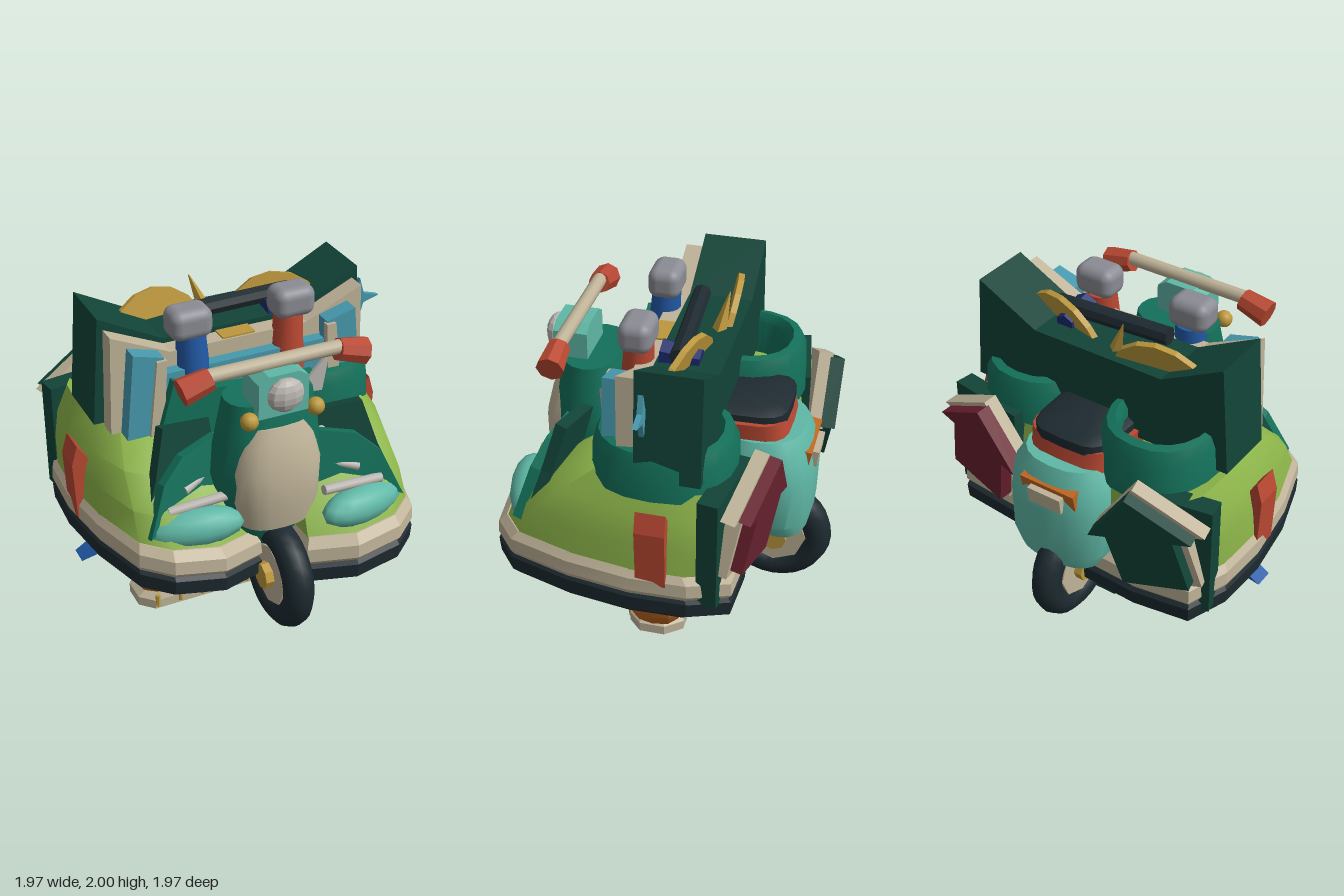
import * as THREE from 'three';
import { toCreasedNormals } from 'three/addons/utils/BufferGeometryUtils.js';
import { RoundedBoxGeometry } from 'three/addons/geometries/RoundedBoxGeometry.js';

const C = { dark: 0x1d2a30, tan: 0xc0b499, green: 0x13705a, deep: 0x124438, lime: 0x8db54a, teal: 0x5fb8a6,
  blue: 0x4799ae, red: 0xb94832, gold: 0xbd983c, orange: 0xbd6722, crimson: 0x6b2230, grey: 0x8b8c94,
  white: 0xbab5b0, navy: 0x1d2a6e, cobalt: 0x2159a5 };

export function createModel() {
  const root = new THREE.Group();
  const add = (name, geo, color, pos = [0, 0, 0], rot = [0, 0, 0], flat = true) => {
    const m = new THREE.Mesh(geo, new THREE.MeshStandardMaterial({ color: C[color], flatShading: flat, side: THREE.DoubleSide }));
    m.name = name;
    m.position.set(...pos);
    m.rotation.set(...rot);
    root.add(m);
    return m;
  };
  const box = (w, h, d) => new THREE.BoxGeometry(w, h, d);
  const slab = (pts, depth) => new THREE.ExtrudeGeometry(new THREE.Shape(pts.map(p => new THREE.Vector2(...p))),
    { depth, bevelEnabled: false }).translate(0, 0, -depth / 2);
  // rod between two points
  const rod = (name, a, b, r0, r1, color, n = 10) => {
    const p = new THREE.Vector3(...a), q = new THREE.Vector3(...b), d = q.clone().sub(p);
    const m = add(name, new THREE.CylinderGeometry(r1, r0, d.length(), n), color, p.clone().add(q).multiplyScalar(0.5).toArray(), [0, 0, 0], n < 9);
    m.quaternion.setFromUnitVectors(new THREE.Vector3(0, 1, 0), d.normalize());
  };
  // horizontal rounded ring: height, half width, centre z, half depth, centre x; e is squareness
  const ring = ([y, hx, zc, hz, xc = 0], e = 1, n = 20) => Array.from({ length: n }, (_, i) => {
    const a = (i / n) * Math.PI * 2, f = t => Math.sign(t) * Math.abs(t) ** e;
    return [xc + hx * f(Math.cos(a)), y, zc + hz * f(Math.sin(a))];
  });
  // skin over stacked rings, with optional end caps
  const loft = (rings, caps = true, crease = 0.6) => {
    const n = rings[0].length, pos = rings.flat(), idx = [];
    for (let i = 0; i < rings.length - 1; i++) for (let j = 0; j < n; j++) {
      const a = i * n + j, b = i * n + (j + 1) % n;
      idx.push(a, a + n, b, b, a + n, b + n);
    }
    if (caps) [0, rings.length - 1].forEach((r, k) => {
      const c = pos.length;
      pos.push([0, 1, 2].map(q => rings[r].reduce((s, p) => s + p[q], 0) / n));
      for (let j = 0; j < n; j++) {
        const a = r * n + j, b = r * n + (j + 1) % n;
        if (k) idx.push(c, b, a); else idx.push(c, a, b);
      }
    });
    const g = new THREE.BufferGeometry();
    g.setAttribute('position', new THREE.Float32BufferAttribute(pos.flat(), 3));
    g.setIndex(idx);
    return toCreasedNormals(g, crease);
  };
  const stack = (name, rows, color, e = 1, caps = true) =>
    add(name, loft(rows.map(r => ring(r, e)), caps), color, [0, 0, 0], [0, 0, 0], false);

  // side pods; the right one sits further back and tilts more
  const foot = [[0.1, -0.5], [0.5, -0.56], [0.86, -0.55], [0.96, -0.32], [0.98, 0], [0.93, 0.38], [0.82, 0.74], [0.66, 0.87], [0.37, 0.91], [0.1, 0.8]];
  for (const s of [1, -1]) {
    const dz = s > 0 ? 0 : -0.19, side = s > 0 ? 'left' : 'right', tilt = s > 0 ? 0.08 : 0.13, lift = s > 0 ? -0.025 : 0;
    const podRing = ([y, sx, sz = sx, oz = 0, ox = 0]) => {
      const r = foot.map(([x, z]) => {
        const px = 0.535 + ox + (x - 0.535) * sx, pz = 0.18 + oz + (z - 0.18) * sz + dz;
        return [s * px, y + lift + tilt * (px - 0.5) + 0.025 * pz, pz];
      });
      return s > 0 ? r : r.reverse();
    };
    const pod = (name, rows, color, crease = 0.3) =>
      add(side + name, loft(rows.map(podRing), true, crease), color, [0, 0, 0], [0, 0, 0], false);
    pod('Skirt', [[0.47, 0.94], [0.5, 1], [0.59, 1.01], [0.62, 0.97]], 'dark');
    pod('Bumper', [[0.61, 0.98], [0.64, 1.01], [0.72, 1], [0.77, 0.93]], 'tan');
    pod('PodBody', [[0.74, 0.94], [0.93, 0.91, 0.89, -0.07], [1.1, 0.85, 0.74, -0.15], [1.26, 0.72, 0.57, -0.25, -0.02]], 'lime', 0.8);
    // open cockpit collar
    const [cx, cz, h] = s > 0 ? [0.52, -0.1, 0] : [-0.44, -0.3, 0.06];
    stack(side + 'CockpitRim', [[1.2, 0.355, cz, 0.41, cx], [1.4 + h, 0.34, cz, 0.4, cx], [1.47 + h, 0.31, cz, 0.37, cx],
      [1.48 + h, 0.27, cz, 0.32, cx], [1.43 + h, 0.24, cz, 0.29, cx], [1.22, 0.24, cz, 0.29, cx]], 'green', 0.85, false);
    // pod nose light, trim bars and fins
    const nose = new THREE.SphereGeometry(1, 14, 8).scale(0.29, 0.115, 0.12);
    add(side + 'NoseLight', nose, 'teal', [s * 0.48, 0.86, 0.73 + dz], [0, s * 0.25, s * -0.06], false);
    rod(side + 'TrimBar', [s * 0.24, 1.0, 0.71 + dz], [s * 0.62, 0.97, 0.69 + dz], 0.03, 0.03, 'white');
    rod(side + 'UpperTrimBar', [s * 0.34, 1.09, 0.58 + dz], [s * 0.5, 1.05, 0.64 + dz], 0.022, 0.028, 'white');
    rod(side + 'RearTrimBar', [s * 0.2, 1.24, 0.27], [s * 0.6, 1.2, 0.27], 0.025, 0.025, 'white');
    // fins lean back at the top and sweep forward at the outside
    const fin = (name, pts, depth, z, color) => add(side + name, slab(pts.map(([x, y]) => [s * (x - 0.5), y - 1.1]), depth),
      color, [s * 0.5, 1.1, z], [-0.2, s * -0.22, 0]);
    fin('FrontFin', [[0.24, 0.98], [0.26, 1.31], [0.5, 1.25], [0.64, 1.12], [0.76, 0.83], [0.5, 0.97]], 0.06, 0.61 + dz, 'green');
    fin('BackFin', [[0.24, 1.05], [0.27, 1.38], [0.58, 1.4], [0.66, 1.12], [0.74, 0.92]], 0.07, 0.53 + dz, 'deep');
    // side lamp
    add(side + 'SideLamp', slab([[0.84, 0.72], [0.97, 0.7], [0.985, 1.06], [0.95, 1.18], [0.84, 1.02]].map(([x, y]) => [s * x, y]), 0.17),
      'red', [0, 0, -0.12]);
    // rear arrow sign on its backing plate
    const arrow = k => slab([[0, 0.36], [0.34, 0.05], [0.22, 0.05], [0.22, -0.33], [-0.22, -0.33], [-0.22, 0.05], [-0.34, 0.05]]
      .map(([x, y]) => [x * k, y * k]), 0.085);
    const z = s > 0 ? -0.58 : -0.75, turn = [-0.13, s * -0.18, s * 0.22];
    add(side + 'ArrowBorder', arrow(1), 'tan', [s * 0.63, 1.06, z], turn);
    add(side + 'Arrow', arrow(0.92), s > 0 ? 'crimson' : 'deep', [s * 0.62, 1.06, z - 0.075], turn);
    add(side + 'BackPlate', box(0.5, 0.7, 0.12), 'deep', [s * 0.685, 0.93, s > 0 ? -0.465 : -0.64], [0, s * -0.16, 0]);
    // bottles, gold discs
    add(side + 'BottleCap', new RoundedBoxGeometry(0.25, 0.18, 0.19, 4, 0.06), 'grey', [s * 0.315, 1.91, 0.11], [0, 0, 0], false);
    rod(side + 'Bottle', [s * 0.29, 1.5, 0.13], [s * 0.3, 1.83, 0.11], 0.1, 0.085, s > 0 ? 'red' : 'cobalt', 14);
    add(side + 'GoldDisc', new THREE.CylinderGeometry(0.31, 0.31, 0.035, 16), 'gold',
      [s * 0.35, 1.63, s > 0 ? -0.14 : -0.24], [Math.PI / 2 - 0.25, 0, s > 0 ? 0.25 : -0.12]);
    // upright strips either side of the box front
    add(side + 'BlueStrip', slab([[0.53, 1.3], [0.73, 1.3], [0.68, 1.82], [0.5, 1.77]].map(([x, y]) => [s * x, y]), 0.1), 'blue', [0, 0, 0.16]);
    add(side + 'TanStrip', slab([[0.52, 1.3], [0.6, 1.3], [0.55, 1.76], [0.49, 1.76]].map(([x, y]) => [s * x, y]), 0.04), 'tan', [0, 0, 0.21]);
    // handlebar grip and turn signal
    rod(side + 'Grip', [s * 0.38, 1.785, 0.545], [s * 0.55, 1.74, 0.545], 0.065, 0.08, 'red', 8);
    add(side + 'Signal', new THREE.SphereGeometry(0.052, 10, 8), 'gold', [s * 0.2, 1.53, 0.65], [0, 0, 0], false);
  }
  add('joint', new THREE.SphereGeometry(0.035, 10, 8), 'white', [0.33, 1.25, 0.48], [0, 0, 0], false);

  // high-cornered back box with layered front frame
  const wings = (top, out, low, base, mid) => [[-low, base], [low, base], [out, top], [0.42, mid], [-0.42, mid], [-out, top]];
  add('backBox', slab(wings(1.97, 0.8, 0.85, 1.32, 1.77), 0.37), 'deep', [0, 0, -0.185]);
  add('tanFrame', slab(wings(1.9, 0.77, 0.79, 1.3, 1.74), 0.11), 'tan', [0, 0, 0.055]);
  add('bluePanel', slab([[-0.5, 1.3], [0.5, 1.3], [0.5, 1.65], [-0.5, 1.65]], 0.08), 'blue', [0, 0, 0.14]);
  add('lowerPanel', slab([[-0.58, 1.25], [0.55, 1.25], [0.4, 1.5], [-0.27, 1.55], [-0.47, 1.64]], 0.06), 'green', [0, 0, 0.24]);
  add('centreClasp', box(0.2, 0.12, 0.1), 'gold', [0, 1.69, 0.05]);
  rod('topBar', [-0.3, 1.85, -0.1], [0.42, 1.84, -0.14], 0.052, 0.052, 'dark', 8);
  rod('goldSpike', [-0.04, 1.72, -0.25], [-0.13, 1.97, -0.3], 0.05, 0.004, 'gold', 4);
  rod('navyPeg', [0.31, 1.8, -0.02], [0.31, 1.78, -0.24], 0.08, 0.06, 'navy', 6);
  add('greyFlap', slab([[0.27, 1.4], [0.48, 1.62], [0.44, 1.38]], 0.02), 'white', [0, 0, 0.28]);

  // four-point star
  const star = Array.from({ length: 8 }, (_, i) => {
    const r = i % 2 ? 0.042 : 0.13, a = (i * Math.PI) / 4;
    return [r * Math.cos(a), r * Math.sin(a)];
  });
  add('star', slab(star, 0.03), 'blue', [0.85, 1.73, -0.05]);

  // wheels
  for (const [name, z] of [['frontWheel', 0.65], ['rearWheel', -0.65]]) {
    add(name + 'Tyre', new THREE.TorusGeometry(0.245, 0.09, 10, 28), 'dark', [0, 0.47, z], [0, Math.PI / 2, 0], false);
    add(name + 'Disc', new THREE.CylinderGeometry(0.19, 0.19, 0.14, 8), 'tan', [0, 0.47, z], [0, 0, Math.PI / 2]);
    add(name + 'Hub', new THREE.CylinderGeometry(0.08, 0.08, 0.24, 8), 'gold', [0, 0.47, z], [0, 0, Math.PI / 2]);
  }

  // scooter front
  stack('legShield', [[0.62, 0.18, 0.42, 0.14], [0.8, 0.26, 0.42, 0.24], [1.1, 0.33, 0.44, 0.25], [1.4, 0.29, 0.46, 0.2], [1.58, 0.26, 0.46, 0.16]], 'green', 0.85);
  stack('shieldPanel', [[0.82, 0.22, 0.55, 0.16], [0.98, 0.26, 0.55, 0.19], [1.18, 0.27, 0.54, 0.2], [1.35, 0.23, 0.53, 0.17], [1.45, 0.19, 0.53, 0.13]], 'tan', 0.8);
  add('headUnit', slab([[-0.15, 1.53], [0.15, 1.53], [0.15, 1.74], [0.09, 1.78], [-0.09, 1.78], [-0.15, 1.74]], 0.2), 'teal', [0, 0, 0.56]);
  add('headlight', new THREE.SphereGeometry(0.11, 10, 8).scale(1, 0.9, 0.55), 'white', [0, 1.665, 0.68]);
  rod('handlebar', [-0.4, 1.8, 0.545], [0.4, 1.8, 0.545], 0.042, 0.042, 'tan');

  // scooter rear
  stack('rearCowl', [[0.62, 0.26, -0.7, 0.15, 0.02], [0.72, 0.32, -0.67, 0.2, 0.02], [1.0, 0.34, -0.61, 0.27, 0.02],
    [1.16, 0.33, -0.58, 0.27, 0.02], [1.27, 0.27, -0.54, 0.26, 0.02]], 'teal', 0.8);
  stack('seatTrim', [[1.24, 0.27, -0.46, 0.27], [1.37, 0.28, -0.42, 0.28]], 'red', 0.5);
  stack('seat', [[1.35, 0.25, -0.42, 0.29], [1.41, 0.25, -0.4, 0.31], [1.44, 0.2, -0.38, 0.27]], 'dark', 0.5);
  add('tailLamp', box(0.36, 0.11, 0.12), 'orange', [0, 1.13, -0.79], [-0.2, 0, 0]);
  add('tailPlate', box(0.22, 0.1, 0.05), 'tan', [0, 1.09, -0.86], [-0.1, 0, 0]);

  // underside tub with base, bristles and keel
  stack('tub', [[0.05, 0.56, -0.04, 0.15], [0.1, 0.63, -0.04, 0.19], [0.2, 0.69, -0.04, 0.23], [0.5, 0.73, -0.02, 0.29], [0.66, 0.7, -0.02, 0.27]], 'orange', 0.65);
  const base = [[-0.65, 0.05], [-0.57, 0.13], [0.52, 0.13], [0.6, 0.05], [0.6, -0.1], [0.52, -0.2], [-0.57, -0.2], [-0.65, -0.1]].reverse();
  const baseRing = (y, k) => base.map(([x, z]) => [-0.025 + (x + 0.025) * k, y, -0.04 + (z + 0.04) * k]);
  add('base', loft([baseRing(0, 1), baseRing(0.06, 1), baseRing(0.1, 0.92)], true, 0.2), 'tan');
  for (let i = 0; i < 8; i++) rod('bristle', [-0.555 + i * 0.15, 0.02, 0.13], [-0.555 + i * 0.15, 0.1, 0.13], 0.015, 0.015, 'gold', 6);
  add('keel', slab([[-0.48, 0.52], [-0.1, 0.02], [0.12, 0.02], [0.48, 0.52]], 0.16), 'deep', [0, 0, -0.285]);
  add('frontPlate', slab([[-0.49, 0.32], [0.28, 0.37], [0.3, 0.55], [-0.49, 0.55]], 0.04), 'tan', [0, 0, 0.31]);
  add('frontBracket', box(0.24, 0.24, 0.06), 'gold', [0, 0.38, 0.27]);
  add('blueSpike', slab([[-0.97, 0.39], [-0.64, 0.46], [-0.64, 0.56], [-0.73, 0.54]], 0.12), 'cobalt', [0, 0, -0.08]);
  return root;
}
